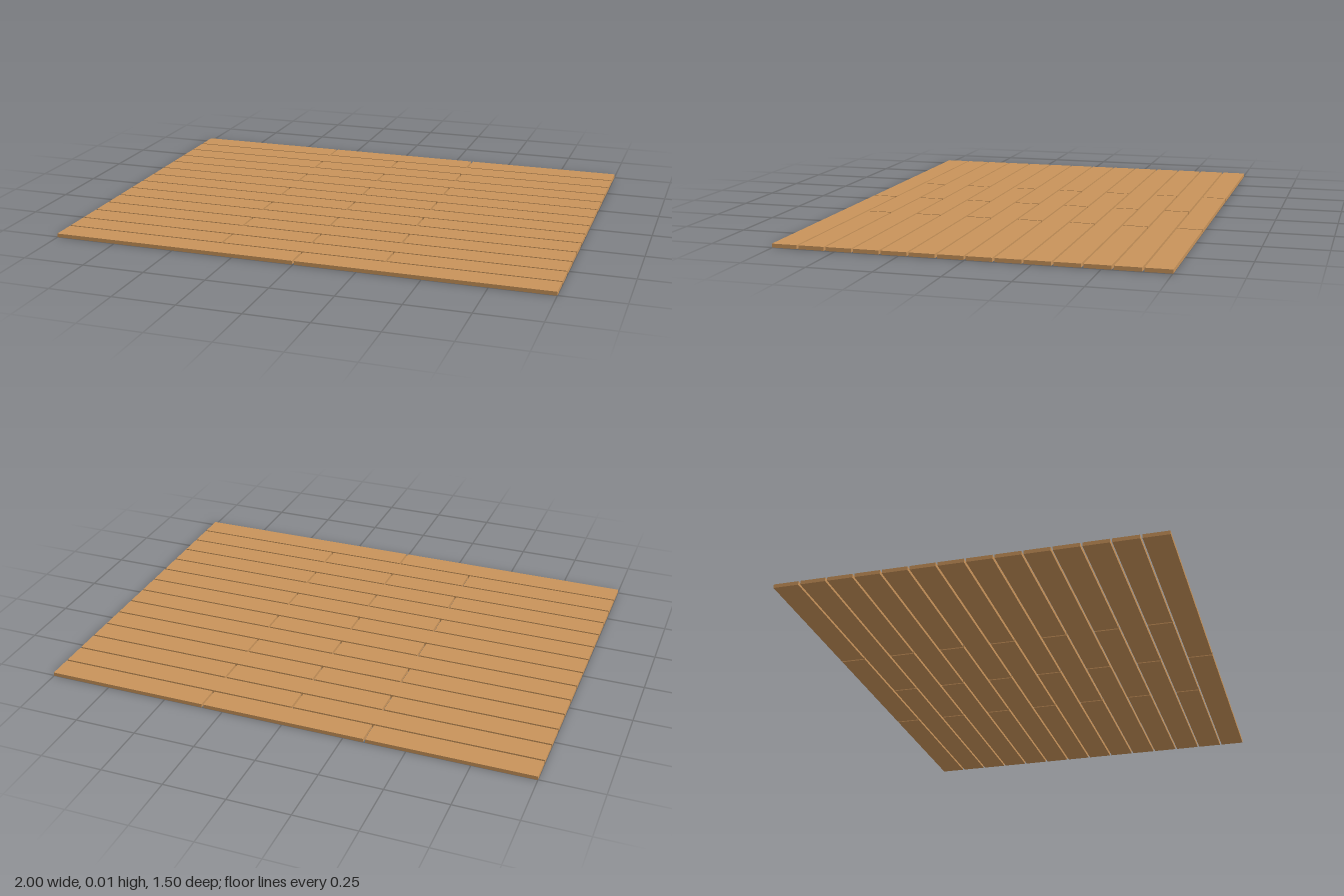
import * as THREE from 'three';

const ROWS = 14;
const LENGTH = 2;
const BOARD_WIDTH = 0.1;
const THICKNESS = 0.015;
const GAP = 0.008;

export function createModel() {
  const floor = new THREE.Group();
  floor.name = 'plankFloor';
  const wood = new THREE.MeshStandardMaterial({ color: 0xc8935a });
  const pitch = BOARD_WIDTH + GAP;

  // Rows run from back to front, alternating three and two boards
  for (let r = 0; r < ROWS; r++) {
    const row = new THREE.Group();
    row.name = `plankRow${r + 1}`;
    row.position.set(0, THICKNESS / 2, (r - (ROWS - 1) / 2) * pitch);

    const count = r % 2 === 0 ? 3 : 2;
    const boardLength = (LENGTH - GAP * (count - 1)) / count;
    const geometry = new THREE.BoxGeometry(boardLength, THICKNESS, BOARD_WIDTH);

    // Boards laid end to end with a narrow joint
    for (let i = 0; i < count; i++) {
      const plank = new THREE.Mesh(geometry, wood);
      plank.name = `plank${i + 1}`;
      plank.position.x = (i - (count - 1) / 2) * (boardLength + GAP);
      row.add(plank);
    }
    floor.add(row);
  }
  return floor;
}
